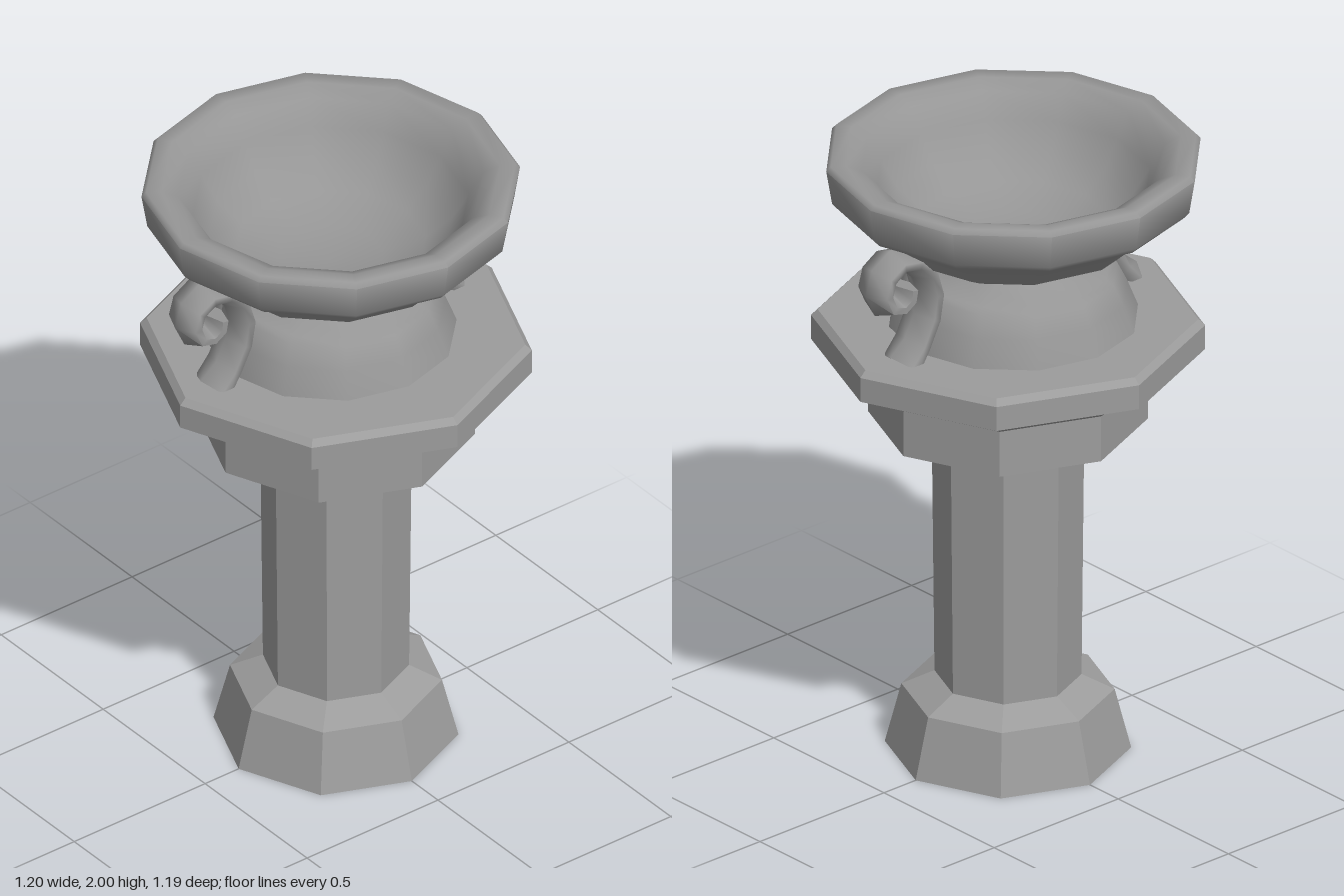
import * as THREE from 'three';
import { toCreasedNormals } from 'three/addons/utils/BufferGeometryUtils.js';

const flat = new THREE.MeshStandardMaterial({ color: 0x9c9c9c, flatShading: true });
const smooth = new THREE.MeshStandardMaterial({ color: 0x969696 });

function lathe(profile, sides) {
  return new THREE.LatheGeometry(profile.map(([r, y]) => new THREE.Vector2(r, y)), sides);
}

function addMesh(parent, name, geometry, material) {
  const mesh = new THREE.Mesh(geometry, material);
  mesh.name = name;
  parent.add(mesh);
  return mesh;
}

// Scroll handle: a ridged six-cornered section swept along a curl in the xy plane
function handleGeometry() {
  const path = [
    [0.45, 1.43], [0.405, 1.49], [0.364, 1.57], [0.35, 1.65], [0.372, 1.725],
    [0.425, 1.775], [0.49, 1.787], [0.54, 1.757], [0.555, 1.705], [0.533, 1.657],
    [0.49, 1.645], [0.458, 1.665], [0.452, 1.70],
  ].map(([x, y]) => new THREE.Vector3(x, y, 0));
  // Corners as [thickness factor, half width]
  const section = [[1, 0], [0.3, 0.066], [-0.3, 0.066], [-1, 0], [-0.3, -0.066], [0.3, -0.066]];
  const curve = new THREE.CatmullRomCurve3(path);
  const n = path.length, sides = section.length;
  const pos = [], index = [];
  path.forEach((p, i) => {
    const t = curve.getTangent(i / (n - 1));
    const thick = i === 0 ? 0.058 : i < 10 ? 0.04 : 0.034;
    for (const [u, w] of section) {
      pos.push(p.x - t.y * u * thick, p.y + t.x * u * thick, w);
    }
  });
  for (let i = 0; i < n - 1; i++) {
    for (let j = 0; j < sides; j++) {
      const a = i * sides + j, b = i * sides + (j + 1) % sides;
      index.push(a, b, a + sides, b, b + sides, a + sides);
    }
  }
  // End caps
  const last = (n - 1) * sides;
  for (let j = 1; j < sides - 1; j++) {
    index.push(0, j + 1, j, last, last + j, last + j + 1);
  }
  const g = new THREE.BufferGeometry();
  g.setAttribute('position', new THREE.Float32BufferAttribute(pos, 3));
  g.setIndex(index);
  return toCreasedNormals(g, 1.2);
}

export function createModel() {
  const model = new THREE.Group();
  model.name = 'urnOnPedestal';

  // Octagonal pedestal, corners on the axes
  const pedestal = new THREE.Group();
  pedestal.name = 'pedestal';
  model.add(pedestal);
  const tiers = {
    base: [[0, 0], [0.372, 0], [0.322, 0.195], [0.222, 0.242], [0, 0.242]],
    shaft: [[0.222, 0.24], [0.23, 1.03]],
    collar: [[0.228, 1.025], [0.273, 1.055], [0.273, 1.11]],
    block: [[0, 1.106], [0.422, 1.106], [0.422, 1.257]],
    cornice: [[0.422, 1.257], [0.54, 1.345]],
    slab: [[0.5, 1.345], [0.595, 1.345], [0.595, 1.425], [0.575, 1.445], [0, 1.445]],
  };
  for (const [name, profile] of Object.entries(tiers)) {
    addMesh(pedestal, name, lathe(profile, 8), flat);
  }

  // Twelve-sided urn, slightly set back on the slab
  const urn = new THREE.Group();
  urn.name = 'urn';
  urn.position.set(-0.006, 0, -0.018);
  model.add(urn);
  const foot = [[0.385, 1.44], [0.35, 1.53], [0.318, 1.595], [0.295, 1.61],
    [0.19, 1.62], [0.145, 1.66], [0.145, 1.68]];
  addMesh(urn, 'foot', toCreasedNormals(lathe(foot, 12), 0.75), smooth);

  // Outside of the bowl, over the broad rounded rim, then down the inside
  const bowl = [[0, 1.66], [0.21, 1.662], [0.31, 1.697], [0.40, 1.745], [0.505, 1.855],
    [0.54, 1.855], [0.558, 1.875], [0.576, 1.985], [0.562, 2.0], [0.515, 1.998],
    [0.465, 1.975], [0.42, 1.90], [0.37, 1.82], [0.29, 1.755], [0.16, 1.715], [0, 1.70]];
  addMesh(urn, 'bowl', toCreasedNormals(lathe(bowl, 12), 1.0), smooth);

  // Pair of handles
  const handle = handleGeometry();
  addMesh(urn, 'leftHandle', handle, smooth);
  addMesh(urn, 'rightHandle', handle, smooth).rotation.y = Math.PI;

  return model;
}
